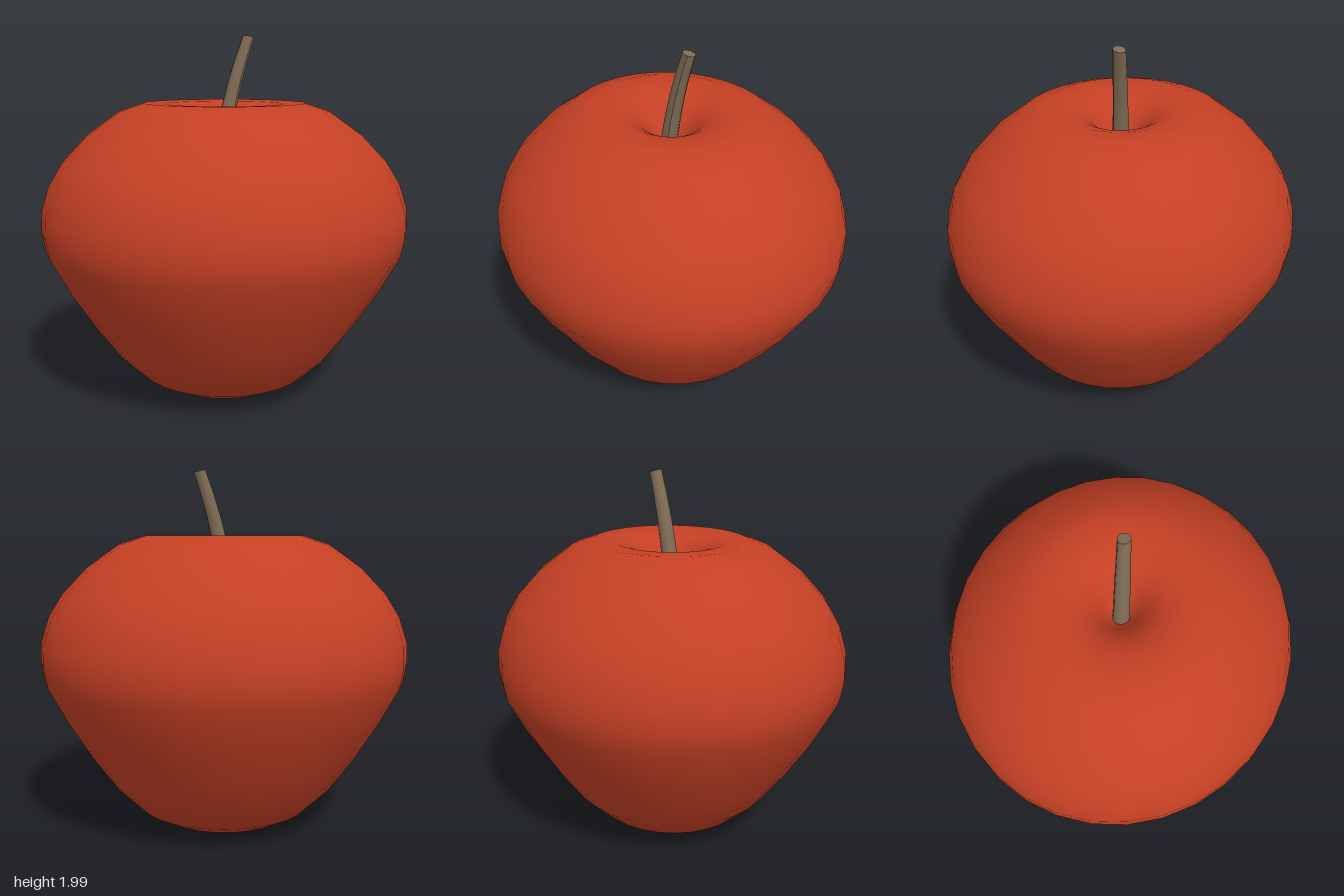
import * as THREE from 'three';

const skin = new THREE.MeshStandardMaterial({ color: 0xc44024 });
skin.name = 'red skin';
const bark = new THREE.MeshStandardMaterial({ color: 0x806c56 });
bark.name = 'brown stem';

// Fruit: turned profile with a dimple at both ends, slightly oval along one diagonal
function makeFruit() {
  const profile = [
    [0, 0.15], [0.06, 0.13], [0.12, 0.08], [0.19, 0.038], [0.26, 0.025],
    [0.36, 0.06], [0.47, 0.12], [0.6, 0.25], [0.73, 0.435], [0.86, 0.65],
    [0.962, 0.85], [0.98, 0.96], [0.977, 1.07], [0.933, 1.21], [0.86, 1.33],
    [0.73, 1.47], [0.56, 1.595], [0.43, 1.64], [0.31, 1.635], [0.23, 1.61],
    [0.17, 1.575], [0.11, 1.51], [0.05, 1.42], [0, 1.38],
  ].map(([r, y]) => new THREE.Vector2(r, y));
  const geo = new THREE.LatheGeometry(profile, 32);
  geo.scale(1.03, 1, 0.967);
  geo.rotateY(-Math.PI / 4);
  const mesh = new THREE.Mesh(geo, skin);
  mesh.name = 'fruit';
  return mesh;
}

// Stem: tapered cylinder whose rings lean along a gentle bend
function makeStem() {
  const bottom = 1.36, height = 0.63;
  const geo = new THREE.CylinderGeometry(0.033, 0.047, height, 10, 5);
  const p = geo.attributes.position;
  for (let i = 0; i < p.count; i++) {
    const t = p.getY(i) / height + 0.5;
    const bend = 0.45 * t + 0.55 * t * t;
    const x = p.getX(i);
    p.setXYZ(i, x - 0.015 + 0.13 * bend,
      bottom + t * height - 0.25 * t * x, p.getZ(i) - 0.005 + 0.078 * bend);
  }
  geo.computeVertexNormals();
  const mesh = new THREE.Mesh(geo, bark);
  mesh.name = 'stem';
  return mesh;
}

// Calyx: ring of small dry points in the lower dimple
function makeCalyx() {
  const calyx = new THREE.Group();
  calyx.name = 'calyx';
  const count = 6;
  for (let i = 0; i < count; i++) {
    const a = (i / count) * Math.PI * 2 + 0.25;
    const geo = new THREE.ConeGeometry(0.018, 0.13, 4);
    geo.rotateX(Math.PI);
    const sepal = new THREE.Mesh(geo, bark);
    sepal.name = 'sepal' + (i + 1);
    sepal.position.set(Math.cos(a) * 0.045, 0.072 + (i % 2) * 0.006, Math.sin(a) * 0.045);
    sepal.rotation.set(-Math.sin(a) * 0.2, 0, Math.cos(a) * 0.2);
    calyx.add(sepal);
  }
  return calyx;
}

export function createModel() {
  const model = new THREE.Group();
  model.name = 'apple';
  model.add(makeFruit(), makeStem(), makeCalyx());
  return model;
}
